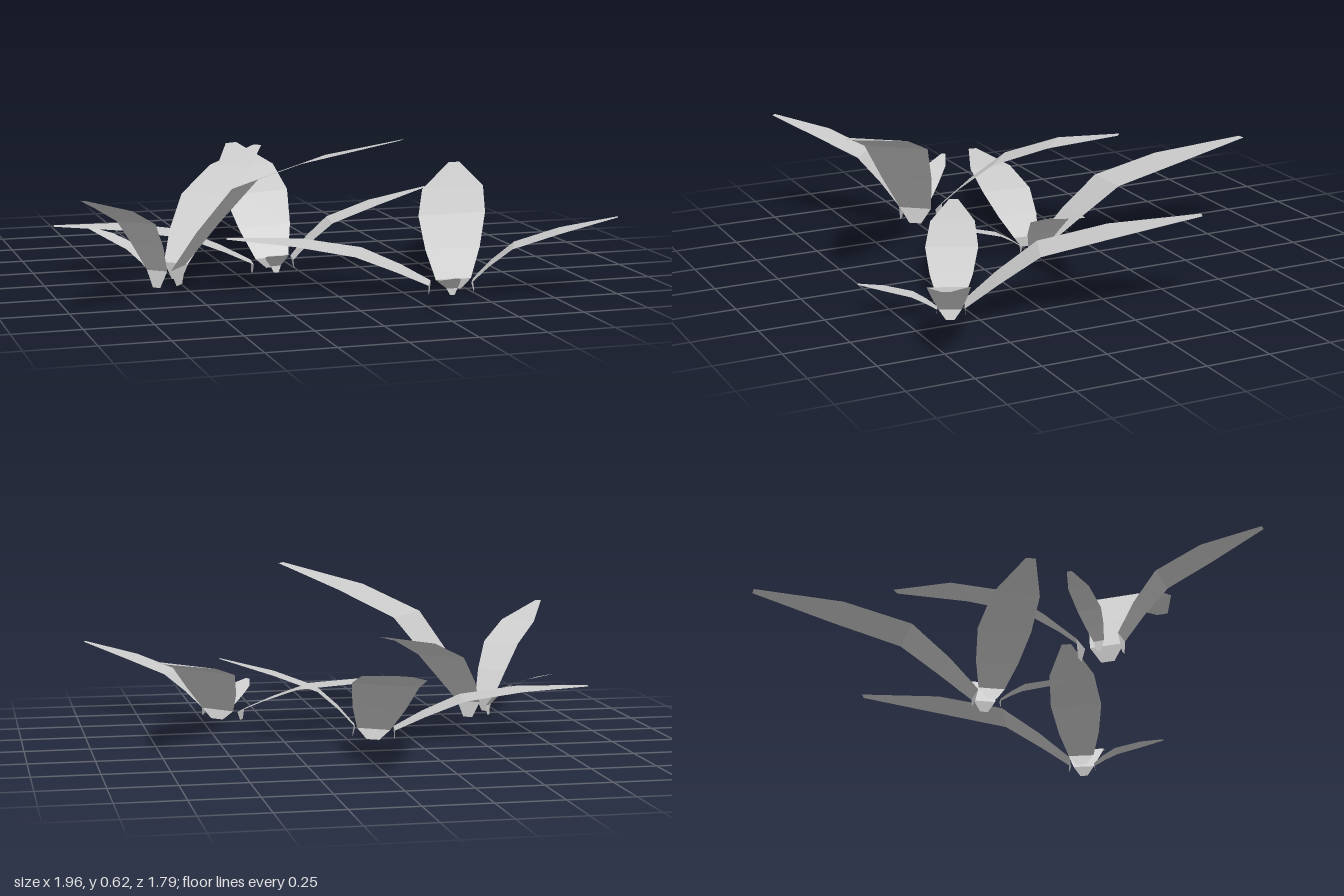
import * as THREE from 'three';

const leafGrey = new THREE.MeshStandardMaterial({ color: 0xcccccc, flatShading: true, side: THREE.DoubleSide });
leafGrey.name = 'leafGrey';

// Each leaf: direction and base distance from the plant centre (degrees, units),
// then cross-sections from stalk to tip: [distance, height, width]
const LEAVES = [
  { name: 'largeLeaf', angle: 0, start: 0.05, sections: [
    [0.005, 0, 0.05], [0, 0.04, 0.13], [0.12, 0.14, 0.205], [0.27, 0.25, 0.255], [0.53, 0.315, 0.24], [0.86, 0.37, 0.045]] },
  { name: 'mediumLeaf', angle: -88, start: 0.086, sections: [
    [0.005, 0, 0.04], [0, 0.04, 0.1], [0.11, 0.105, 0.16], [0.255, 0.178, 0.2], [0.48, 0.23, 0.172], [0.745, 0.262, 0.035]] },
  { name: 'shortLeaf', angle: 92, start: 0.07, sections: [
    [0.005, 0, 0.03], [0, 0.04, 0.083], [0.07, 0.105, 0.125], [0.16, 0.17, 0.155], [0.33, 0.217, 0.148], [0.545, 0.258, 0.025]] },
  { name: 'tinyLeaf', angle: 184, start: 0.048, sections: [
    [0.003, 0, 0.018], [0, 0.025, 0.04], [0.04, 0.053, 0.07], [0.09, 0.08, 0.09], [0.195, 0.105, 0.078], [0.285, 0.12, 0.018]] },
];

// Flat ribbon through the cross-sections, running along +x and facing up
function leafGeometry(start, sections) {
  const positions = [];
  const index = [];
  sections.forEach(([r, y, w], i) => {
    positions.push(start + r, y, -w / 2, start + r, y, w / 2);
    if (i > 0) {
      const a = 2 * (i - 1);
      index.push(a, a + 1, a + 2, a + 1, a + 3, a + 2);
    }
  });
  const geometry = new THREE.BufferGeometry();
  geometry.setAttribute('position', new THREE.Float32BufferAttribute(positions, 3));
  geometry.setIndex(index);
  geometry.computeVertexNormals();
  return geometry;
}

// One plant: four leaves around a centre, turned, tilted and stretched in height
function makePlant(name, x, y, z, heading, tilt, height) {
  const plant = new THREE.Group();
  plant.name = name;
  for (const { name: leafName, angle, start, sections } of LEAVES) {
    const leaf = new THREE.Mesh(leafGeometry(start, sections), leafGrey);
    leaf.name = leafName;
    leaf.rotation.y = -THREE.MathUtils.degToRad(angle);
    plant.add(leaf);
  }
  plant.position.set(x, y, z);
  plant.rotation.order = 'YXZ';
  plant.rotation.y = -THREE.MathUtils.degToRad(heading);
  plant.rotation.x = -tilt;
  plant.scale.y = height;
  return plant;
}

export function createModel() {
  const model = new THREE.Group();
  model.name = 'leafyPlants';
  model.add(
    makePlant('rightPlant', -0.596, 0.04, 0.27, 38, 0, 1.57),
    makePlant('leftPlant', 0.42, 0.01, 0.58, -67, 0.085, 0.95),
    makePlant('backPlant', -0.095, 0.01, -0.005, -83.5, 0.085, 1.02),
  );
  return model;
}
